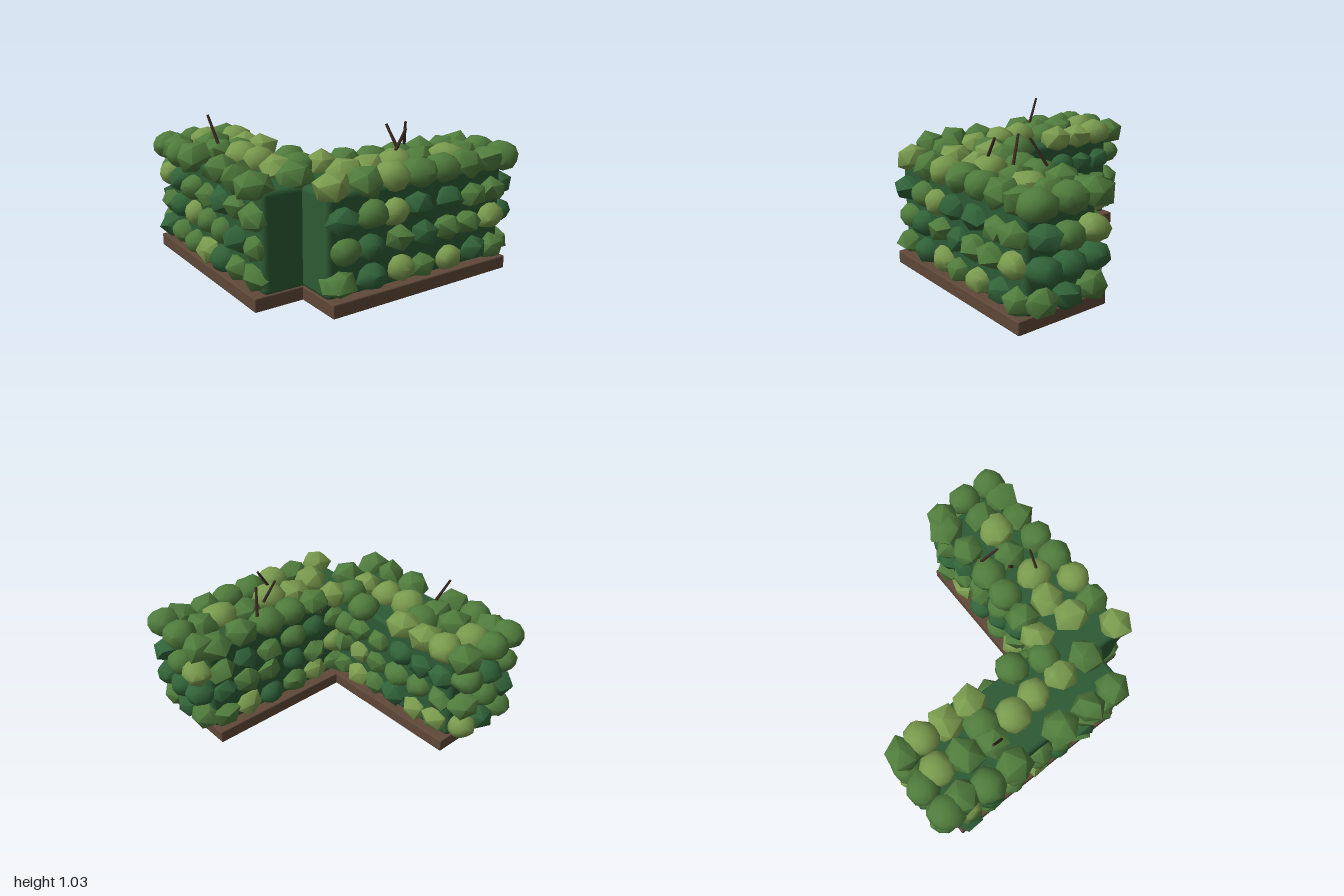
import * as THREE from 'three';
import { mergeVertices, toCreasedNormals } from 'three/addons/utils/BufferGeometryUtils.js';
import { RoundedBoxGeometry } from 'three/addons/geometries/RoundedBoxGeometry.js';

const mat = (name, color) => new THREE.MeshStandardMaterial({ name, color });
const soil = mat('soil brown', 0x5f4838);
const twigBrown = mat('twig brown', 0x3d2d24);
const core = mat('deep foliage', 0x2d5b35);
const leaf = {
  D: mat('dark leaf', 0x316339),
  M: mat('mid leaf', 0x507c3d),
  L: mat('light leaf', 0x7a9b4e),
};

let seed = 7;
function rand(a, b) {
  seed = (seed * 16807) % 2147483647;
  return a + (b - a) * (seed / 2147483647);
}

// Uneven leaf clump: a rounded or angular icosahedron with its corners pushed in or out
function clumpGeometry(w, h, d) {
  const rounded = rand(0, 1) < 0.5;
  let g = new THREE.IcosahedronGeometry(1, rounded ? 1 : 0);
  g.deleteAttribute('uv');
  g.deleteAttribute('normal');
  g = mergeVertices(g, 1e-3);
  g.rotateX(rand(0, 6.28));
  g.rotateY(rand(0, 6.28));
  const p = g.attributes.position;
  const [low, high] = rounded ? [0.91, 1.07] : [0.92, 1.18];
  for (let i = 0; i < p.count; i++) {
    const s = rand(low, high);
    p.setXYZ(i, p.getX(i) * s * w, p.getY(i) * s * h, p.getZ(i) * s * d);
  }
  return toCreasedNormals(g, 0.95);
}

// Rows of clumps: [height, colours, places along the arm, places across it]
const side = [-0.5, -0.29, -0.08, 0.11, 0.33, 0.54, 0.73];
const end = [0.78, 0.6, 0.41];
const frontArmRows = [
  [0.76, 'LMLMMMMM', [-0.53, -0.29, -0.09, 0.12, 0.32, 0.53, 0.73, 0.86], 0.815],
  [0.765, 'LLLMLMM', [-0.3, -0.1, 0.1, 0.33, 0.53, 0.7, 0.87], [0.62, 0.57, 0.61, 0.57, 0.62, 0.6, 0.59]],
  [0.76, 'LMMMMMM', [-0.28, -0.1, 0.11, 0.3, 0.53, 0.76, 0.86], [0.33, 0.34, 0.36, 0.37, 0.36, 0.35, 0.39]],
  [0.175, 'MDLMLDM', [-0.52, -0.28, -0.05, 0.12, 0.35, 0.57, 0.74], 0.855],
  [0.375, 'MDMDMML', [-0.47, -0.3, -0.07, 0.13, 0.32, 0.5, 0.71], 0.855],
  [0.57, 'DMLDDMM', [-0.5, -0.28, -0.11, 0.08, 0.33, 0.54, 0.72], 0.86],
  [0.175, '-MLMDLM', side, 0.35], [0.37, '-LMDMMD', side, 0.35], [0.565, '-MDMMDM', side, 0.35],
  [0.175, 'MDM', 0.85, end], [0.37, 'DDD', 0.87, end], [0.565, 'DML', 0.87, end],
];
const backArmRows = [
  [0.76, 'MMMMMMM', [-0.49, -0.29, -0.05, 0.35, 0.55, 0.73, 0.86], [0.86, 0.86, 0.85, 0.86, 0.86, 0.81, 0.83]],
  [0.765, 'MLLLMMMLM', [-0.5, -0.28, -0.05, 0.14, 0.34, 0.36, 0.55, 0.75, 0.89], [0.58, 0.58, 0.58, 0.6, 0.53, 0.66, 0.62, 0.58, 0.62]],
  [0.76, 'MMLLLM', [-0.27, -0.06, 0.33, 0.53, 0.71, 0.86], [0.42, 0.345, 0.36, 0.37, 0.36, 0.37]],
  [0.175, 'MMDLMMD', side, 0.855], [0.37, 'MDMMLDM', side, 0.855], [0.565, 'MMDMMDL', side, 0.855],
  [0.175, 'MLMDLL', [-0.24, -0.06, 0.11, 0.3, 0.51, 0.7], 0.35],
  [0.37, 'MLMMMM', [-0.24, -0.07, 0.12, 0.33, 0.53, 0.72], 0.35],
  [0.56, 'MMMDDD', [-0.22, -0.06, 0.13, 0.35, 0.54, 0.73], 0.35],
  [0.175, 'MDL', 0.87, end], [0.37, 'DMM', 0.87, end], [0.565, 'MDM', 0.88, end],
];

// One straight hedge arm; place(along, across) gives its x and z
function hedgeArm(name, rows, place, size) {
  const arm = new THREE.Group();
  arm.name = name;
  const block = (part, material, u0, u1, v0, v1, y0, y1, r) => {
    const [sx, sz] = size(u1 - u0, v1 - v0);
    const [x, z] = place((u0 + u1) / 2, (v0 + v1) / 2);
    const m = new THREE.Mesh(new RoundedBoxGeometry(sx, y1 - y0, sz, 2, r), material);
    m.name = part;
    m.position.set(x, (y0 + y1) / 2, z);
    arm.add(m);
  };
  block('soilBase', soil, -0.6, 0.83, 0.26, 0.935, 0, 0.09, 0.008);
  block('hedgeCore', core, -0.595, 0.82, 0.335, 0.865, 0.08, 0.735, 0.035);

  for (const [y, colours, us, vs] of rows) {
    const top = y > 0.7;
    [...colours].forEach((c, i) => {
      const material = leaf[c];
      if (!material) return;
      const s = (top ? 0.121 : 0.108) * rand(0.94, 1.06);
      const m = new THREE.Mesh(clumpGeometry(s, top ? 0.1 : 0.09, s), material);
      m.name = 'leafClump';
      const [x, z] = place(us[i] ?? us, vs[i] ?? vs);
      m.position.set(x, y + rand(-0.012, 0.012), z);
      arm.add(m);
    });
  }
  return arm;
}

// Thin stick between two points
function twig(from, to) {
  const a = new THREE.Vector3(...from);
  const b = new THREE.Vector3(...to);
  const dir = b.clone().sub(a);
  const m = new THREE.Mesh(new THREE.CylinderGeometry(0.009, 0.012, dir.length(), 6), twigBrown);
  m.name = 'twig';
  m.position.copy(a).add(b).multiplyScalar(0.5);
  m.quaternion.setFromUnitVectors(new THREE.Vector3(0, 1, 0), dir.normalize());
  return m;
}

export function createModel() {
  const hedge = new THREE.Group();
  hedge.name = 'cornerHedge';
  hedge.add(hedgeArm('frontArm', frontArmRows, (u, v) => [u, v], (u, v) => [u, v]));
  hedge.add(hedgeArm('backArm', backArmRows, (u, v) => [-v, -u], (u, v) => [v, u]));

  // Bare twigs poking out of the top
  hedge.add(
    twig([-0.69, 0.82, -0.31], [-0.72, 1.025, -0.41]),
    twig([0.07, 0.82, 0.62], [0.18, 1, 0.62]),
    twig([0.22, 0.82, 0.51], [0.17, 1, 0.43]),
    twig([0.385, 0.82, 0.365], [0.32, 1, 0.45]),
  );
  return hedge;
}
